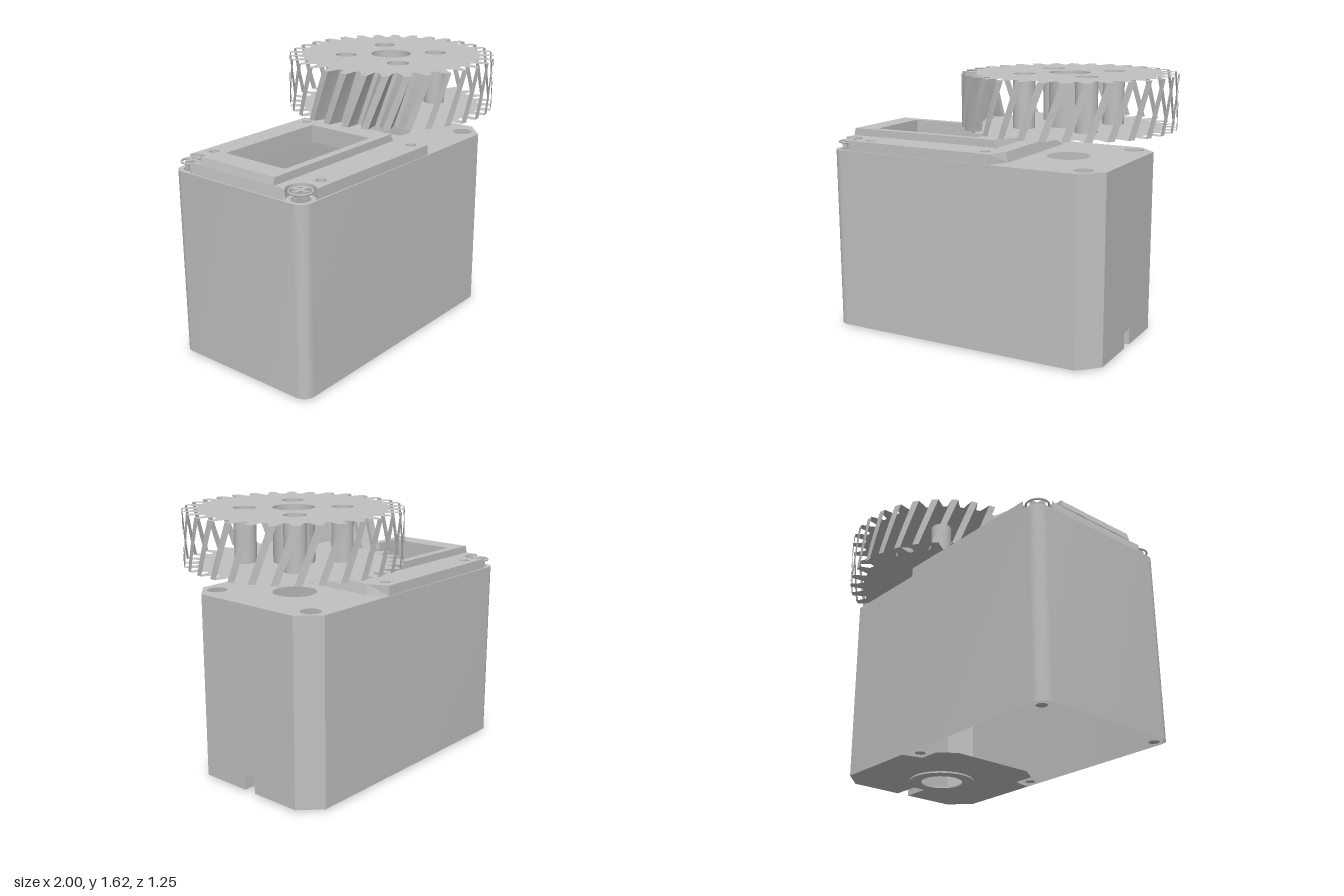
import * as THREE from 'three';
import { toCreasedNormals } from 'three/addons/utils/BufferGeometryUtils.js';

const grey = new THREE.MeshStandardMaterial({ color: 0xc0c0c0, side: THREE.DoubleSide });
grey.name = 'light grey';
// single-sided twin use is avoided: thin parts share the same grey

const GX = 0.375;
const GEAR_LOW = 1.31;
const GEAR_TOP = 1.62;
const TEETH = 32;
const PITCH = (Math.PI * 2) / TEETH;
const TWIST = PITCH * 0.95;
const BASE = 0.01;
const LID = 1.13;

function add(parent, name, geo, x = 0, y = 0, z = 0) {
  const mesh = new THREE.Mesh(geo, grey);
  mesh.name = name;
  mesh.position.set(x, y, z);
  parent.add(mesh);
}

function toVectors(pts) {
  return pts.map((p) => new THREE.Vector2(p[0], p[1]));
}

function shapeOf(pts, holes = []) {
  const shape = new THREE.Shape(toVectors(pts));
  shape.holes = holes.map((h) => new THREE.Path(toVectors(h)));
  return shape;
}

function circle(x, y, r) {
  const pts = [];
  for (let i = 0; i < 32; i++) {
    const a = (i / 32) * Math.PI * 2;
    pts.push([x + r * Math.cos(a), y + r * Math.sin(a)]);
  }
  return pts;
}

// completes a half outline across z = 0
function mirror(half) {
  const other = half.map((p) => [p[0], -p[1]]);
  return half.concat(other.reverse());
}

function flat(shape, up) {
  const geo = new THREE.ShapeGeometry(shape);
  return geo.rotateX(up ? -Math.PI / 2 : Math.PI / 2);
}

// slab whose top lies at y = 0, with the ends of the top pulled inwards
function slab(shape, depth, inset = 0) {
  const geo = new THREE.ExtrudeGeometry(shape, { depth: depth, bevelEnabled: false });
  geo.rotateX(Math.PI / 2);
  geo.computeBoundingBox();
  const box = geo.boundingBox;
  const p = geo.attributes.position;
  for (let i = 0; i < p.count; i++) {
    const x = p.getX(i);
    if (p.getY(i) > -depth / 2) {
      if (x > box.max.x - 0.001) p.setX(i, x - inset);
      if (x < box.min.x + 0.001) p.setX(i, x + inset * 0.6);
    }
  }
  geo.computeVertexNormals();
  return geo;
}

// surface ruled between two matching rows of [x, y, z] points
function ruled(low, high) {
  const v = [];
  for (let i = 0; i + 1 < low.length; i++) {
    const quad = [low[i], high[i], low[i + 1], low[i + 1], high[i], high[i + 1]];
    quad.forEach((q) => v.push(q[0], q[1], q[2]));
  }
  const geo = new THREE.BufferGeometry();
  geo.setAttribute('position', new THREE.Float32BufferAttribute(v, 3));
  return toCreasedNormals(geo, 0.5);
}

function wall(pts, y0, y1) {
  const low = pts.map((p) => [p[0], y0, p[1]]);
  const high = pts.map((p) => [p[0], y1, p[1]]);
  return ruled(low, high);
}

function polar(r, a) {
  return [r * Math.cos(a), r * Math.sin(a)];
}

function buildHousing(model) {
  // Walls: chamfered at +x, rounded at -x
  const half = [[0.77, 0.36], [0.65, 0.48]];
  for (let i = 0; i <= 8; i++) {
    const c = polar(0.07, Math.PI / 2 + (i / 8) * (Math.PI / 2));
    half.push([-0.93 + c[0], 0.41 + c[1]]);
  }
  const outline = mirror(half);
  add(model, 'housingWall', wall(outline, BASE, LID));
  const endPts = [[-0.36, BASE], [-0.04, BASE], [-0.04, 0.11], [0.04, 0.11], [0.04, BASE], [0.36, BASE], [0.36, LID], [-0.36, LID]];
  const endFace = new THREE.ShapeGeometry(shapeOf(endPts));
  add(model, 'housingEndFace', endFace.rotateY(Math.PI / 2), 0.77);

  // Lid with window, shaft hole and corner holes
  const windowPts = [[-0.84, -0.22], [-0.12, -0.22], [-0.12, 0.22], [-0.84, 0.22]];
  const lidHoles = [windowPts, circle(GX, 0, 0.13)];
  const deckHoles = [windowPts];
  for (const s of [-1, 1]) {
    lidHoles.push(circle(-0.92, s * 0.4, 0.054), circle(0.64, s * 0.37, 0.06));
    deckHoles.push(circle(-0.76, s * 0.4, 0.03), circle(0.04, s * 0.4, 0.03));
  }
  add(model, 'housingTop', flat(shapeOf(outline, lidHoles), true), 0, LID);

  // Cable slot
  add(model, 'slotWall', wall([[0.77, 0.04], [0.6, 0.04], [0.6, -0.04], [0.77, -0.04]], BASE, 0.11));
  const ceiling = new THREE.PlaneGeometry(0.17, 0.08);
  add(model, 'slotCeiling', ceiling.rotateX(Math.PI / 2), 0.685, 0.11);

  // Base plate covers only one end
  const plate = [[0.6, 0.04], [0.77, 0.04], [0.77, 0.36], [0.65, 0.48], [0.13, 0.48], [0.1, 0.36], [-0.03, 0.36], [-0.1, 0.26]];
  const shaft = circle(GX, 0, 0.125);
  add(model, 'basePlate', flat(shapeOf(mirror(plate), [shaft]), false), 0, BASE);
  add(model, 'baseRing', slab(shapeOf(circle(GX, 0, 0.195), [shaft]), 0.01), 0, BASE);

  // Stepped deck with screw notches
  const deck = [[0.165, 0.36], [0.1, 0.475]];
  for (let i = 0; i <= 14; i++) {
    const c = polar(0.08, THREE.MathUtils.degToRad(60 - (i / 14) * 204));
    deck.push([-0.92 + c[0], 0.4 + c[1]]);
  }
  deck.push([-0.99, 0.34]);
  add(model, 'lowerDeck', slab(shapeOf(mirror(deck), deckHoles), 0.06, 0.015), 0, 1.19);
  const upper = mirror([[0.04, 0.27], [-0.985, 0.27]]);
  add(model, 'upperDeck', slab(shapeOf(upper, [windowPts]), 0.045, 0.02), 0, 1.235);
}

function buildScrews(model) {
  for (const s of [-1, 1]) {
    const screw = new THREE.Group();
    screw.name = 'screw';
    screw.position.set(-0.92, 1.16, s * 0.4);
    model.add(screw);
    add(screw, 'screwCrossA', new THREE.BoxGeometry(0.1, 0.045, 0.02));
    add(screw, 'screwCrossB', new THREE.BoxGeometry(0.02, 0.045, 0.1));
    const rim = new THREE.TorusGeometry(0.064, 0.006, 6, 28);
    add(screw, 'screwRim', rim.rotateX(Math.PI / 2), 0, 0.014, 0);
    // Screw tips along the open underside
    for (const x of [-0.93, 0.04]) {
      add(model, 'screwTip', flat(shapeOf(circle(0, 0, 0.03)), false), x, BASE, s * 0.42);
    }
  }
}

// Helical gear: two toothed discs joined by tooth lands and bores
function buildGear(model) {
  const gear = new THREE.Group();
  gear.name = 'gear';
  gear.position.x = GX;
  model.add(gear);
  const tooth = [[-0.075, 0.542], [-0.055, 0.575], [-0.034, 0.625], [0.034, 0.625], [0.055, 0.575], [0.075, 0.542]];
  const profile = (turn) => {
    const pts = [];
    for (let i = 0; i < TEETH; i++) {
      tooth.forEach((t) => pts.push(polar(t[1], i * PITCH + t[0] + turn)));
    }
    return pts;
  };
  const bores = [[0, 0, 0.12], [0.195, 0.195, 0.064], [0.195, -0.195, 0.064], [-0.195, 0.195, 0.064], [-0.195, -0.195, 0.064]];
  const holes = bores.map((b) => circle(b[0], b[1], b[2]));
  const height = GEAR_TOP - GEAR_LOW;
  add(gear, 'gearTop', flat(shapeOf(profile(0), holes), true), 0, GEAR_TOP);
  add(gear, 'gearBottom', flat(shapeOf(profile(TWIST), holes), false), 0, GEAR_LOW);
  for (const b of bores) {
    const bore = new THREE.CylinderGeometry(b[2], b[2], height, 32, 1, true);
    add(gear, 'gearBore', bore, b[0], GEAR_LOW + height / 2, b[1]);
  }

  // Flanks are closed on one side only; elsewhere just the lands remain
  const STEPS = 4;
  for (let i = 0; i < TEETH; i++) {
    const full = i >= 11 && i <= 16;
    const section = full ? tooth.concat([[PITCH - 0.075, 0.542]]) : tooth.slice(2, 4);
    const row = (t) => section.map((q) => {
      const c = polar(q[1], i * PITCH + q[0] + TWIST * (1 - t));
      return [c[0], GEAR_LOW + height * t, c[1]];
    });
    for (let k = 0; k < STEPS; k++) {
      add(gear, full ? 'gearTooth' : 'gearToothLand', ruled(row(k / STEPS), row((k + 1) / STEPS)));
    }
  }
}

export function createModel() {
  const model = new THREE.Group();
  buildHousing(model);
  buildScrews(model);
  buildGear(model);
  return model;
}
